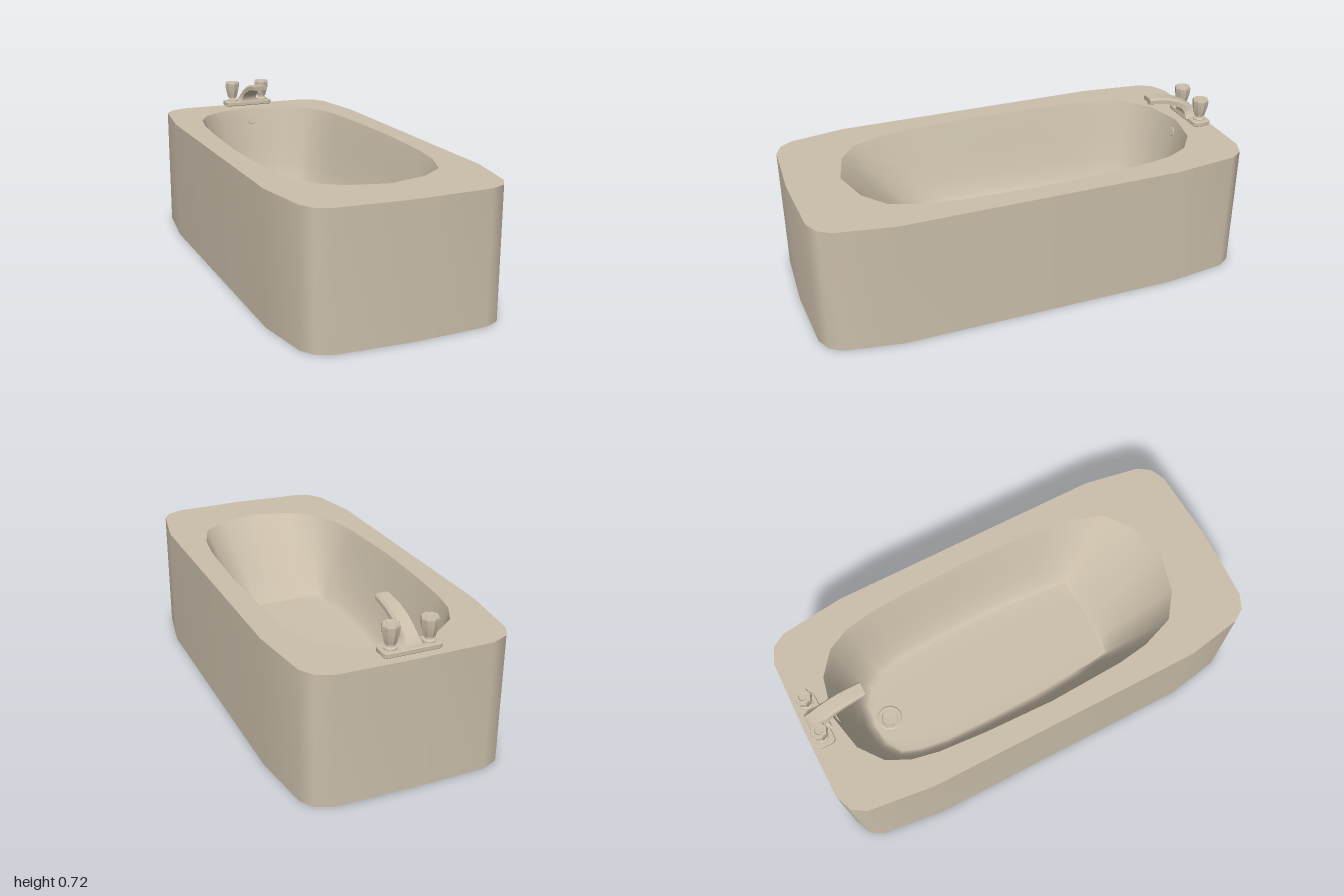
import * as THREE from 'three';
import { toCreasedNormals } from 'three/addons/utils/BufferGeometryUtils.js';

const material = new THREE.MeshStandardMaterial({ color: 0xcbbfab, side: THREE.DoubleSide });

function part(parent, name, geometry, x = 0, y = 0, z = 0) {
  const mesh = new THREE.Mesh(geometry, material);
  mesh.name = name;
  mesh.position.set(x, y, z);
  parent.add(mesh);
  return mesh;
}

// Skin closed loops of [x, y, z] points, all with the same count
function loft(loops) {
  const n = loops[0].length, index = [];
  for (let i = 0; i < loops.length - 1; i++) {
    for (let j = 0; j < n; j++) {
      const a = i * n + j, b = i * n + (j + 1) % n;
      index.push(a, b, a + n, b, b + n, a + n);
    }
  }
  const g = new THREE.BufferGeometry();
  g.setAttribute('position', new THREE.Float32BufferAttribute(loops.flat(2), 3));
  g.setIndex(index);
  g.computeVertexNormals();
  return g;
}

// Half outlines as [x, z], from the front middle to the back middle
const outerHalf = [[0, 0.995], [0.33, 0.98], [0.397, 0.95], [0.434, 0.894], [0.478, 0.645], [0.478, 0],
  [0.478, -0.614], [0.442, -0.905], [0.405, -0.963], [0.33, -0.995], [0, -1]];
const rimHalf = [[0, 0.765], [0.18, 0.718], [0.29, 0.635], [0.344, 0.487], [0.365, 0.344], [0.38, 0],
  [0.37, -0.317], [0.354, -0.53], [0.33, -0.65], [0.28, -0.75], [0.175, -0.83], [0, -0.868]];
const floorHalf = [[0, 0.41], [0.11, 0.41], [0.2, 0.395], [0.21, 0.3], [0.215, 0.2], [0.225, 0],
  [0.225, -0.25], [0.22, -0.45], [0.2, -0.58], [0.17, -0.66], [0.1, -0.71], [0, -0.725]];
const mirror = half => [...half, ...half.slice(1, -1).reverse().map(([x, z]) => [-x, z])];

const RIM_Y = 0.57, DRAIN_Y = 0.165, DRAIN_Z = -0.645, FLOOR_SLOPE = 0.055;
const floorY = z => DRAIN_Y + (z - DRAIN_Z) * FLOOR_SLOPE;

function makeTub() {
  const tub = new THREE.Group();
  tub.name = 'tub';
  const outer = mirror(outerHalf), rim = mirror(rimHalf), floor = mirror(floorHalf);

  // Outer apron, open underneath
  part(tub, 'apron', loft([0, RIM_Y].map(y => outer.map(([x, z]) => [x, y, z]))));

  // Flat deck around the basin
  const vec = pts => pts.map(([x, z]) => new THREE.Vector2(x, -z));
  const deck = new THREE.Shape(vec(outer));
  deck.holes.push(new THREE.Path(vec(rim)));
  part(tub, 'deck', new THREE.ShapeGeometry(deck).rotateX(-Math.PI / 2), 0, RIM_Y, 0);

  // Basin walls: [inset towards the floor outline, depth fraction], straighter at the sloping front
  const profile = [[0, 0], [0.08, 0.1], [0.3, 0.42], [0.52, 0.72], [0.72, 0.9], [0.87, 0.98], [1, 1]];
  const loops = profile.map(([inset, d]) => rim.map(([x, z], i) => {
    const [fx, fz] = floor[i];
    const u = THREE.MathUtils.lerp(inset, d, 0.8 * THREE.MathUtils.smoothstep(fz, 0.1, 0.4));
    return [x + (fx - x) * u, RIM_Y + (floorY(fz) - RIM_Y) * d, z + (fz - z) * u];
  }));
  // Floor, falling gently to the drain
  for (const k of [0.6, 0]) loops.push(floor.map(([x, z]) => [x * k, floorY(z), z]));
  part(tub, 'basin', loft(loops));

  // Drain ring with a recessed plug
  const ring = [[0.036, 0.002], [0.036, -0.01], [0.06, -0.01], [0.06, 0.004], [0.052, 0.009], [0.038, 0.007], [0.036, 0.002], [0, 0.002]]
    .map(p => new THREE.Vector2(...p));
  part(tub, 'drain', toCreasedNormals(new THREE.LatheGeometry(ring, 24), 0.6), 0, DRAIN_Y, DRAIN_Z);

  // Overflow cover on the back wall
  const cover = new THREE.CylinderGeometry(0.021, 0.025, 0.014, 16).rotateX(Math.PI / 2 - 0.25);
  part(tub, 'overflowCover', toCreasedNormals(cover, 0.6), 0, 0.51, -0.852);
  return tub;
}

function makeFaucet() {
  const faucet = new THREE.Group();
  faucet.name = 'faucet';
  faucet.position.set(0.006, 0, 0);

  // Base plate with rounded ends
  const w = 0.122, d = 0.04, r = 0.02;
  const s = new THREE.Shape();
  s.moveTo(-w + r, -d).lineTo(w - r, -d).quadraticCurveTo(w, -d, w, -d + r).lineTo(w, d - r)
    .quadraticCurveTo(w, d, w - r, d).lineTo(-w + r, d).quadraticCurveTo(-w, d, -w, d - r)
    .lineTo(-w, -d + r).quadraticCurveTo(-w, -d, -w + r, -d);
  const plate = new THREE.ExtrudeGeometry(s, { depth: 0.016, bevelEnabled: true, bevelSize: 0.003,
    bevelThickness: 0.003, bevelSegments: 1, curveSegments: 4 }).rotateX(-Math.PI / 2);
  part(faucet, 'basePlate', toCreasedNormals(plate, 0.6), 0, 0.584, -0.937);

  // Spout: bevelled cross-sections [top z, top y, bottom z, bottom y, half width]
  const sections = [[-0.975, 0.598, -0.885, 0.598, 0.062], [-0.97, 0.615, -0.888, 0.61, 0.044],
    [-0.945, 0.638, -0.886, 0.624, 0.037], [-0.91, 0.663, -0.872, 0.642, 0.036],
    [-0.86, 0.688, -0.838, 0.662, 0.035], [-0.8, 0.706, -0.79, 0.679, 0.034],
    [-0.745, 0.714, -0.742, 0.687, 0.032], [-0.7, 0.717, -0.703, 0.692, 0.031]];
  const loops = sections.map(([zt, yt, zb, yb, h]) => {
    const at = (x, t) => [x, yt + (yb - yt) * t, zt + (zb - zt) * t];
    return [at(-h, 1), at(-h, 0.35), at(-h * 0.75, 0), at(h * 0.75, 0), at(h, 0.35), at(h, 1)];
  });
  loops.push(loops[0].map(() => [0, 0.705, -0.7]));
  part(faucet, 'spout', toCreasedNormals(loft(loops), 0.6), -0.003, 0, 0);
  part(faucet, 'aerator', toCreasedNormals(new THREE.CylinderGeometry(0.017, 0.015, 0.014, 16), 0.6), -0.003, 0.685, -0.722);

  // Fluted tap knobs on short stems
  const knobProfile = [[0, 0.623], [0.022, 0.623], [0.025, 0.632], [0.034, 0.668], [0.036, 0.697], [0.033, 0.705],
    [0.018, 0.705], [0.015, 0.701], [0, 0.701]].map(p => new THREE.Vector2(...p));
  const stemProfile = [[0.027, 0.6], [0.027, 0.608], [0.017, 0.613], [0.015, 0.626]].map(p => new THREE.Vector2(...p));
  for (const [side, x] of [['left', 0.082], ['right', -0.082]]) {
    const knob = new THREE.LatheGeometry(knobProfile, 16);
    const p = knob.attributes.position;
    for (let i = 0; i < p.count; i++) {
      const k = 1 + 0.06 * Math.cos(8 * Math.atan2(p.getZ(i), p.getX(i)));
      p.setXYZ(i, p.getX(i) * k, p.getY(i), p.getZ(i) * k);
    }
    part(faucet, side + 'Knob', toCreasedNormals(knob, 0.3), x, 0, -0.938);
    part(faucet, side + 'Stem', toCreasedNormals(new THREE.LatheGeometry(stemProfile, 16), 0.6), x, 0, -0.938);
  }
  return faucet;
}

export function createModel() {
  const model = new THREE.Group();
  model.name = 'bathtub';
  model.add(makeTub(), makeFaucet());
  return model;
}
